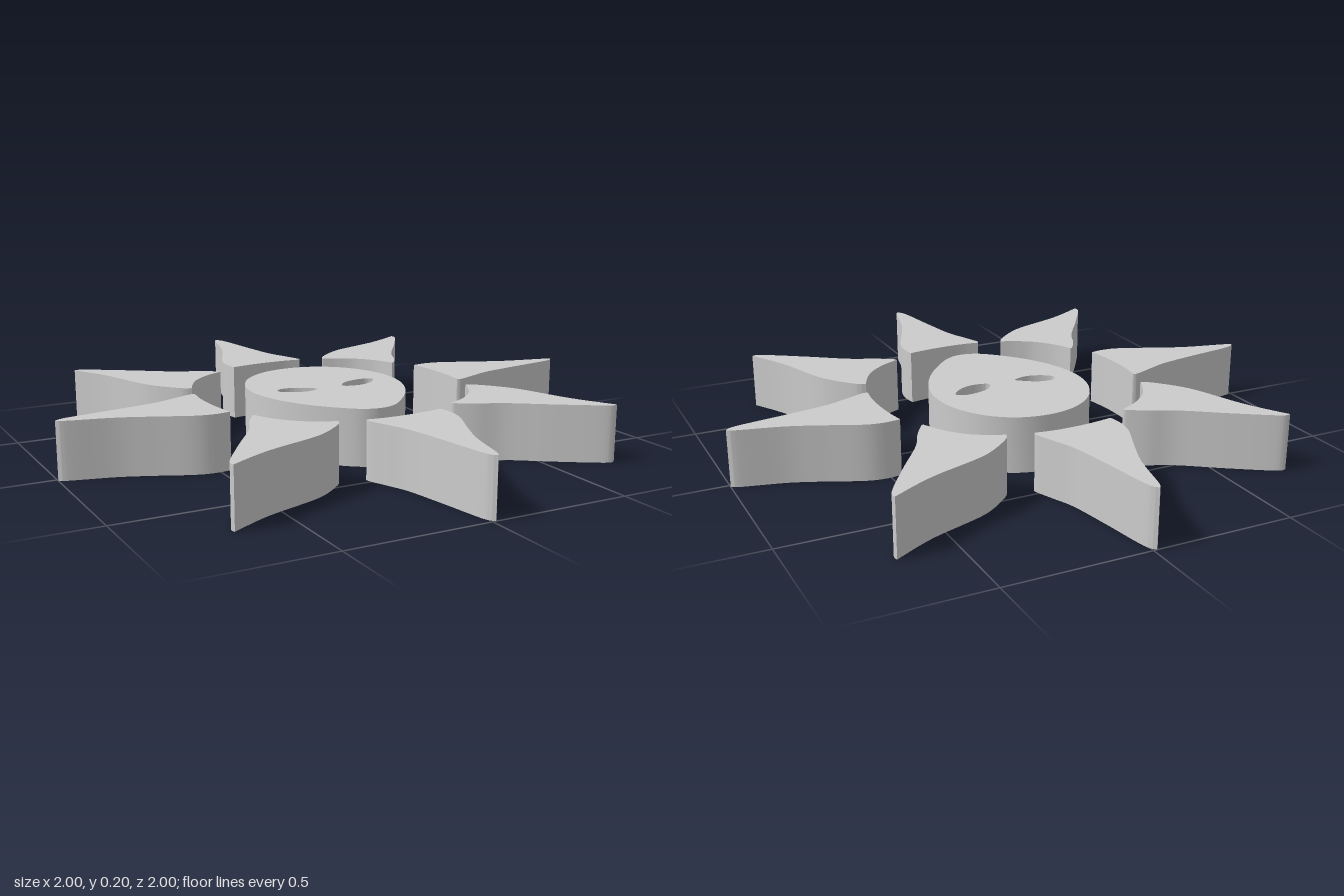
import * as THREE from 'three';
import { toCreasedNormals } from 'three/addons/utils/BufferGeometryUtils.js';

const HEIGHT = 0.2;
const material = new THREE.MeshStandardMaterial({ color: 0xcccccc });
const vectors = (pts) => pts.map(([x, y]) => new THREE.Vector2(x, y));

// Outline made of smooth edges that meet at sharp corners
function outline(edges) {
  const shape = new THREE.Shape();
  shape.moveTo(...edges[0][0]);
  for (const edge of edges) shape.splineThru(vectors(edge.slice(1)));
  return shape;
}

// Smooth closed loop through a few points
function loop(pts) {
  const curve = new THREE.CatmullRomCurve3(pts.map(([x, y]) => new THREE.Vector3(x, y, 0)), true, 'centripetal');
  return curve.getPoints(72).slice(0, -1).map((p) => new THREE.Vector2(p.x, p.y));
}

// Flat plan shape raised to a slab standing on the ground
function slab(shape) {
  const geometry = new THREE.ExtrudeGeometry(shape, { depth: HEIGHT, bevelEnabled: false, curveSegments: 8 });
  geometry.rotateX(-Math.PI / 2);
  return toCreasedNormals(geometry, 0.6);
}

export function createModel() {
  const group = new THREE.Group();

  // Egg-shaped face with two eye holes
  const face = new THREE.Shape(loop([
    [0, 0.345], [-0.11, 0.322], [-0.205, 0.25], [-0.265, 0.14], [-0.28, 0.03], [-0.257, -0.085],
    [-0.198, -0.2], [-0.112, -0.3], [-0.05, -0.347], [0.01, -0.36], [0.064, -0.342], [0.112, -0.3],
    [0.198, -0.195], [0.257, -0.075], [0.276, 0.03], [0.262, 0.14], [0.203, 0.25], [0.11, 0.322],
  ]));
  const eyes = [
    [[0.05, -0.005], [0.075, 0.03], [0.128, 0.05], [0.18, 0.051], [0.2, 0.035], [0.172, -0.003],
      [0.128, -0.026], [0.085, -0.028], [0.054, -0.018]],
    [[-0.195, 0.015], [-0.18, 0.042], [-0.13, 0.042], [-0.077, 0.012], [-0.053, -0.012],
      [-0.075, -0.025], [-0.118, -0.03], [-0.17, -0.01]],
  ];
  for (const eye of eyes) face.holes.push(new THREE.Path(loop(eye)));
  const faceMesh = new THREE.Mesh(slab(face), material);
  faceMesh.name = 'face';
  group.add(faceMesh);

  // Ray pointing straight out
  const straightRay = slab(outline([
    [[-0.168, 0.461], [-0.08, 0.474], [0, 0.478], [0.06, 0.476], [0.117, 0.468]],
    [[0.117, 0.468], [0.121, 0.487], [0.095, 0.555], [0.064, 0.64], [0.037, 0.79], [0.01, 0.96], [-0.012, 1]],
    [[-0.012, 1], [-0.027, 0.97], [-0.064, 0.82], [-0.107, 0.71], [-0.16, 0.59], [-0.174, 0.52], [-0.168, 0.461]],
  ]));

  // Ray pointing to a diagonal
  const diagonalRay = slab(outline([
    [[0.207, 0.443], [0.262, 0.418], [0.32, 0.38], [0.375, 0.315], [0.41, 0.246]],
    [[0.41, 0.246], [0.422, 0.254], [0.46, 0.316], [0.503, 0.406], [0.6, 0.545], [0.69, 0.684], [0.695, 0.722]],
    [[0.695, 0.722], [0.6, 0.668], [0.519, 0.631], [0.37, 0.578], [0.3, 0.54], [0.225, 0.476], [0.207, 0.443]],
  ]));

  // Four quarter turns of each ray
  for (let i = 0; i < 4; i++) {
    for (const [name, geometry] of [['straightRay', straightRay], ['diagonalRay', diagonalRay]]) {
      const ray = new THREE.Mesh(geometry, material);
      ray.name = name + (i + 1);
      ray.rotation.y = (-i * Math.PI) / 2;
      group.add(ray);
    }
  }
  return group;
}
